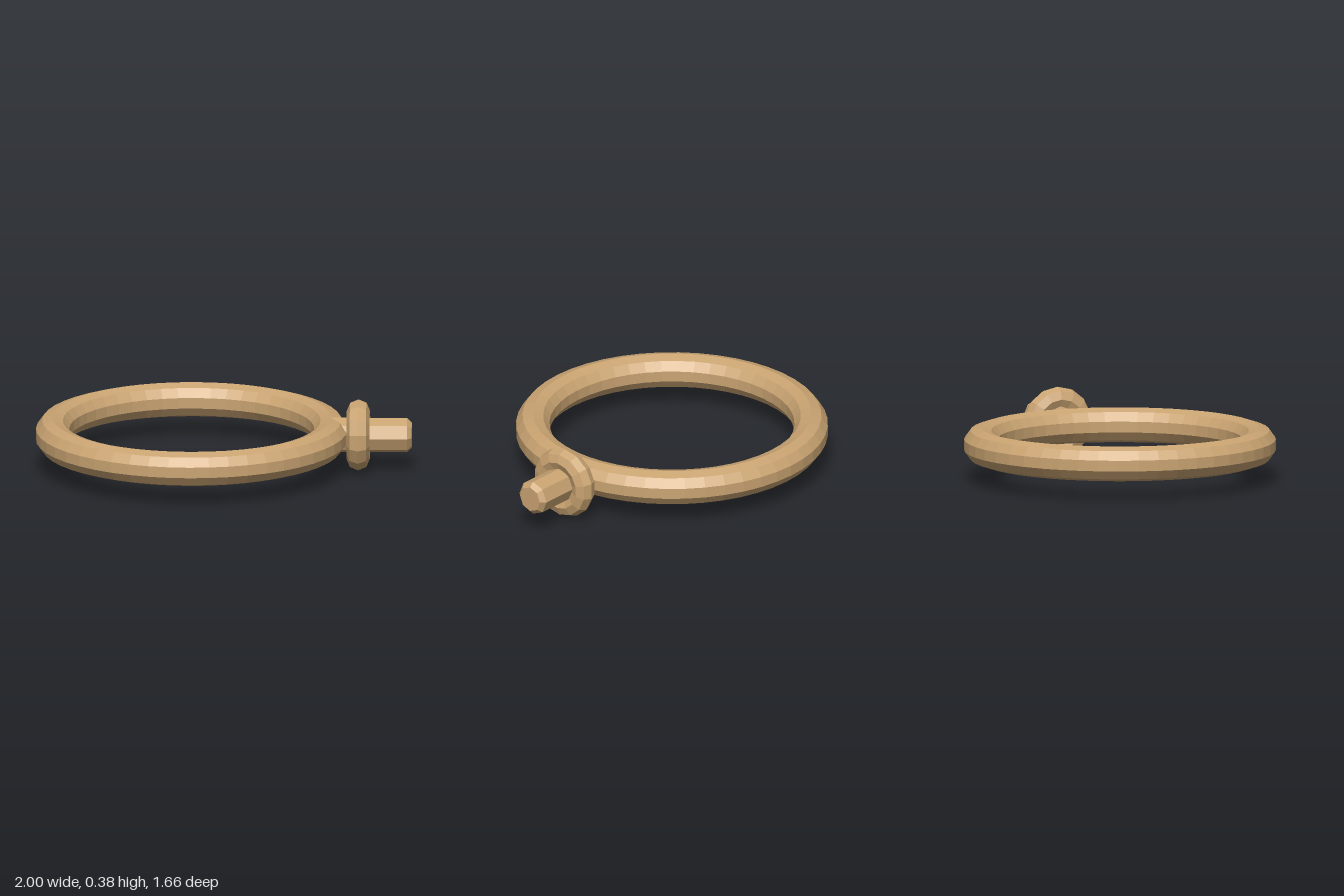
import * as THREE from 'three';

const MID_Y = 0.193;

// Closed regular polygon as a lathe cross-section, centred at the given radius
function tubeProfile(radius, tube, sides, turn) {
  const points = [];
  for (let i = 0; i <= sides; i++) {
    const a = turn + (i % sides) / sides * Math.PI * 2;
    points.push(new THREE.Vector2(radius + tube * Math.cos(a), tube * Math.sin(a)));
  }
  return points;
}

export function createModel() {
  const group = new THREE.Group();
  const wood = new THREE.MeshStandardMaterial({ color: 0xcaa472, flatShading: true });
  wood.name = 'tan wood';

  const add = (name, geometry, x) => {
    const mesh = new THREE.Mesh(geometry, wood);
    mesh.name = name;
    mesh.position.set(x, MID_Y, 0);
    group.add(mesh);
  };
  // Turn a lathe from the y axis to the x axis, with a corner at the top
  const alongX = (geometry) => geometry.rotateZ(-Math.PI / 2).rotateX(Math.PI / 2);

  // Large ten-sided hoop lying flat
  add('hoop', new THREE.LatheGeometry(tubeProfile(0.74, 0.0935, 10, Math.PI / 10), 48), -0.17);

  // Rounded collar around the post
  add('collar', alongX(new THREE.LatheGeometry(tubeProfile(0.131, 0.0615, 8, 0), 14)), 0.715);

  // Octagonal post with a chamfered end
  const post = [[0, 0], [0.0935, 0], [0.0935, 0.405], [0.069, 0.43], [0, 0.43]];
  add('post', alongX(new THREE.LatheGeometry(post.map(([r, h]) => new THREE.Vector2(r, h)), 8)), 0.57);

  return group;
}
